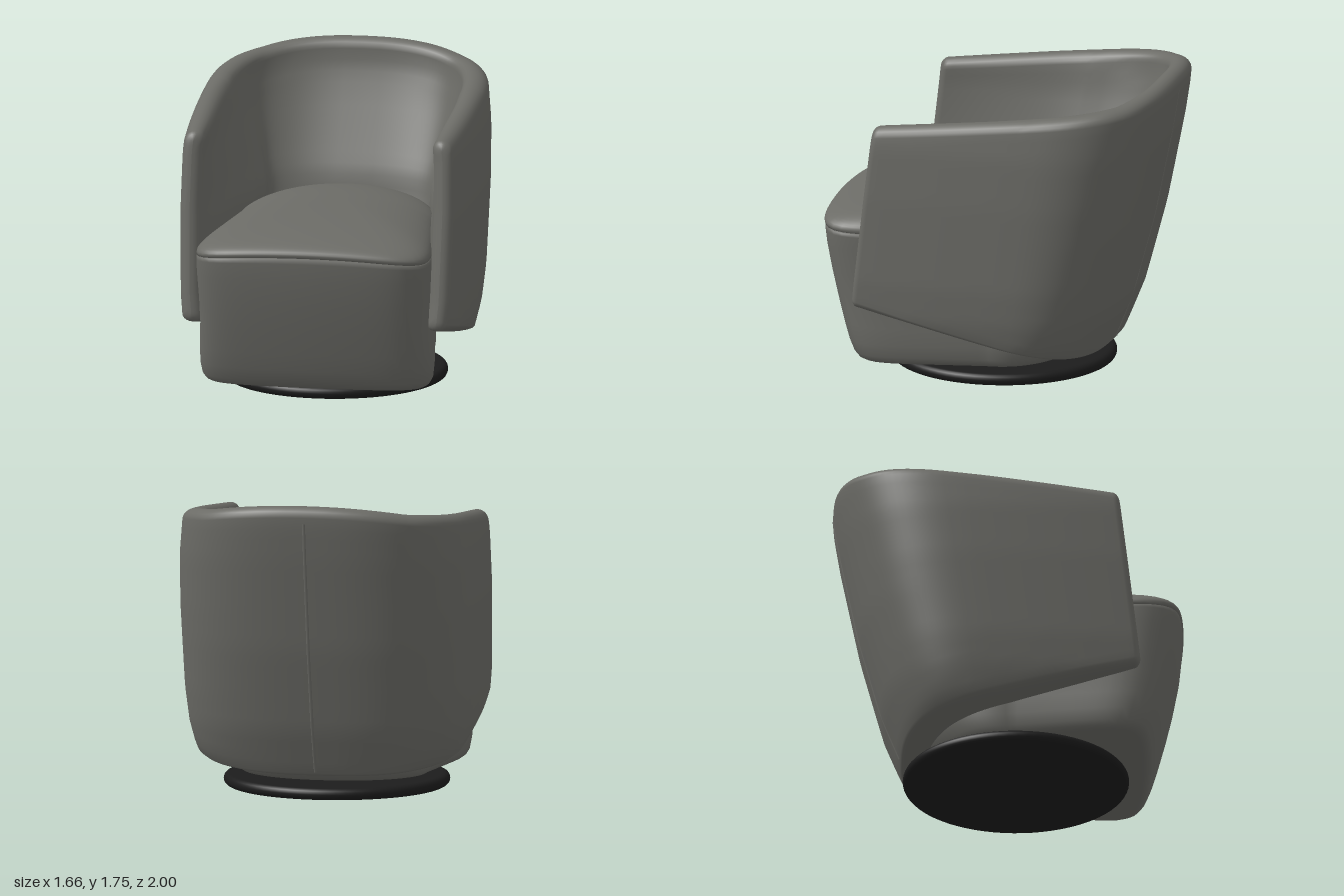
import * as THREE from 'three';

const lerp = THREE.MathUtils.lerp;
const clamp = THREE.MathUtils.clamp;

// Piecewise interpolation through [key, value] pairs
function table(pairs, k) {
  for (let i = 1; i < pairs.length; i++) {
    const [k0, v0] = pairs[i - 1], [k1, v1] = pairs[i];
    if (k <= k1) return lerp(v0, v1, clamp((k - k0) / (k1 - k0), 0, 1));
  }
  return pairs[pairs.length - 1][1];
}

// Smooth skin over a stack of closed rings
function skin(rings) {
  const n = rings[0].length, index = [];
  for (let i = 0; i < rings.length - 1; i++) {
    for (let j = 0; j < n; j++) {
      const a = i * n + j, b = i * n + (j + 1) % n;
      index.push(a, b, a + n, b, b + n, a + n);
    }
  }
  const geo = new THREE.BufferGeometry();
  geo.setAttribute('position', new THREE.Float32BufferAttribute(rings.flat(2), 3));
  geo.setIndex(index);
  geo.computeVertexNormals();
  return geo;
}

// ---- Wraparound shell: half width and back depth by height
const WIDTH = [[0.12, 0.67], [0.18, 0.72], [0.25, 0.765], [0.4, 0.8], [0.6, 0.82],
  [1.1, 0.832], [1.4, 0.826], [1.6, 0.805], [1.75, 0.78]];
const BACK = [[0.12, -0.6], [0.42, -0.72], [0.9, -0.85], [1.44, -0.96], [1.65, -0.995], [1.75, -1]];
const CAP = 0.045;

// Outer plan curve: u = -1 right arm front, 0 back centre, 1 left arm front
function plan(u, y) {
  const k = Math.abs(u), w = table(WIDTH, y), zb = table(BACK, y);
  const z0 = lerp(-0.1, -0.3, clamp((y - 0.12) / 1.5, 0, 1));
  if (k > 0.5) {
    const f = (k - 0.5) * 2;
    const front = 0.75 - (y - 0.45) * 0.121 - CAP;
    return [Math.sign(u) * w * (1 - 0.05 * f * f), lerp(z0, front, f)];
  }
  const a = k * Math.PI;
  return [Math.sign(u) * w * Math.sin(a) ** 0.74, z0 - (z0 - zb) * Math.cos(a) ** 0.74];
}

const topEdge = (x, z) => 1.52 + (0.6 - z) * 0.123
  + (z < 0 ? 0.036 * Math.max(0, 1 - (x / 0.6) ** 2) : 0);
const bottomEdge = (x, z) => 0.12 + Math.max(0, z + 0.6) * 0.24;

function solveEdge(u, edge, y) {
  for (let i = 0; i < 8; i++) y = edge(...plan(u, y));
  return y;
}

// Wall thickness: thin at the rim and arm fronts, padded low down and in the corners
function thickness(u, y) {
  const k = Math.abs(u), f = Math.max(0, k - 0.5) * 2;
  const low = clamp((1.6 - y) / 0.6, 0, 1);
  const corner = Math.exp(-(((k - 0.42) / 0.14) ** 2)) * (0.02 + 0.05 * low);
  return lerp(0.13 + 0.14 * low, 0.118, f * f) + corner;
}

// Point set in from the outer surface by d
function shellPoint(u, y, d) {
  const [x, z] = plan(u, y), e = 0.004;
  const p = plan(u - e, y), q = plan(u + e, y);
  const tx = q[0] - p[0], tz = q[1] - p[1], l = Math.hypot(tx, tz);
  return [x - tz / l * d, y, z + tx / l * d];
}

// Rounded wall section; shrink and push close the arm fronts
function shellRing(u, shrink = 0, push = 0) {
  const yt = solveEdge(u, topEdge, 1.6), yb = solveEdge(u, bottomEdge, 0.3);
  const rt = 0.06, rb = 0.04, section = [];
  for (let i = 0; i < 24; i++) section.push([lerp(yb + rb, yt - rt, i / 24), 0]);
  for (let i = 0; i < 10; i++) {
    const a = i / 10 * Math.PI;
    section.push([yt - rt + rt * Math.sin(a), (1 - Math.cos(a)) / 2]);
  }
  for (let i = 0; i < 24; i++) section.push([lerp(yt - rt, yb + rb, i / 24), 1]);
  for (let i = 0; i < 10; i++) {
    const a = i / 10 * Math.PI;
    section.push([yb + rb - rb * Math.sin(a), (1 + Math.cos(a)) / 2]);
  }
  const mid = (yt + yb) / 2, half = (yt - yb) / 2;
  return section.map(([y0, s]) => {
    const y = mid + (y0 - mid) * (1 - shrink * 0.055 / half);
    const p = shellPoint(u, y, thickness(u, y) * lerp(s, 0.5, shrink));
    // Keep the underside on the same slope across the wall
    p[1] += 0.24 * (p[2] - plan(u, y)[1]) * clamp((yt - y) / (yt - yb), 0, 1);
    p[2] += push;
    return p;
  });
}

function shellGeometry() {
  const rings = [], steps = 96, capSteps = 6;
  const cap = (u, i) => {
    const a = i / capSteps * Math.PI / 2;
    return shellRing(u, 1 - Math.cos(a), CAP * Math.sin(a));
  };
  for (let i = capSteps; i > 0; i--) rings.push(cap(-1, i));
  for (let i = 0; i <= steps; i++) rings.push(shellRing(-1 + 2 * i / steps));
  for (let i = 1; i <= capSteps; i++) rings.push(cap(1, i));
  return skin(rings);
}

// ---- Seat: square front, narrowing to a round back
function seatRing(y, front, back, width, crown = 0) {
  const ring = [], n = 128;
  for (let j = 0; j < n; j++) {
    const a = j / n * Math.PI * 2, c = Math.cos(a), s = -Math.sin(a);
    const p = s > 0 ? 8 : 2.1;
    const r = (Math.abs(c) ** p + Math.abs(s) ** p) ** (-1 / p);
    const fz = r * s;
    const x = r * c * (0.57 + 0.145 * Math.max(0, fz)) * width;
    const bow = fz > 0 ? 0.045 * (x / 0.66) ** 2 * fz : 0;
    const z = fz > 0 ? fz * front - bow : -fz * back;
    ring.push([x, y + crown * (1 - Math.min(1, (x / 0.66) ** 2)), z]);
  }
  return ring;
}

function seatBodyGeometry() {
  return skin([
    [0.08, 0, 0, 0], [0.08, 0.74, -0.34, 0.88], [0.086, 0.775, -0.39, 0.93], [0.1, 0.8, -0.42, 0.96],
    [0.13, 0.822, -0.45, 0.985], [0.2, 0.85, -0.5, 1], [0.3, 0.88, -0.54, 0.997],
    [0.45, 0.92, -0.56, 0.985], [0.6, 0.955, -0.58, 0.988], [0.75, 0.983, -0.59, 1],
    [0.83, 0.994, -0.6, 1.003, 0.03], [0.848, 0.994, -0.6, 1.002, 0.04], [0.853, 0.982, -0.59, 0.988, 0.04],
    [0.853, 0, 0, 0, 0.04],
  ].map(l => seatRing(...l)));
}

function cushionGeometry() {
  const rings = [seatRing(0.851, 0.982, -0.59, 0.988, 0.04), seatRing(0.856, 0.996, -0.6, 1, 0.04)];
  for (let i = 0; i <= 24; i++) {
    const s = Math.cos(i / 24 * Math.PI / 2);
    rings.push(seatRing(0.87 + 0.125 * Math.sqrt(Math.max(0, 1 - s ** 2.6)), s, -0.6 * s, s, 0.04));
  }
  return skin(rings);
}

export function createModel() {
  const group = new THREE.Group();
  const fabric = new THREE.MeshStandardMaterial({ color: 0x6b6b66 });
  fabric.name = 'grey upholstery';
  const metal = new THREE.MeshStandardMaterial({ color: 0x1c1c1c });
  metal.name = 'black metal';
  const add = (name, geo, mat) => {
    const mesh = new THREE.Mesh(geo, mat);
    mesh.name = name;
    group.add(mesh);
    return mesh;
  };

  add('wraparoundShell', shellGeometry(), fabric);
  add('seatBody', seatBodyGeometry(), fabric);
  add('seatCushion', cushionGeometry(), fabric);

  // Welt down the centre of the back
  const seam = [];
  for (let i = 0; i <= 10; i++) {
    const y = lerp(0.17, 1.66, i / 10);
    seam.push(new THREE.Vector3(0, y, table(BACK, y) + 0.005));
  }
  add('backSeam', new THREE.TubeGeometry(new THREE.CatmullRomCurve3(seam), 40, 0.011, 8), fabric);

  // Swivel base: round-edged disc and short column
  const profile = [new THREE.Vector2(0, 0), new THREE.Vector2(0.6, 0)];
  for (let i = 0; i <= 10; i++) {
    const a = (i / 10 - 0.5) * Math.PI;
    profile.push(new THREE.Vector2(0.613 + 0.033 * Math.cos(a), 0.034 + 0.034 * Math.sin(a)));
  }
  profile.push(new THREE.Vector2(0.6, 0.068), new THREE.Vector2(0, 0.068));
  add('swivelBase', new THREE.LatheGeometry(profile, 72), metal).position.z = 0.045;
  add('swivelColumn', new THREE.CylinderGeometry(0.065, 0.065, 0.04, 32), metal).position.set(0, 0.08, 0.08);

  return group;
}
